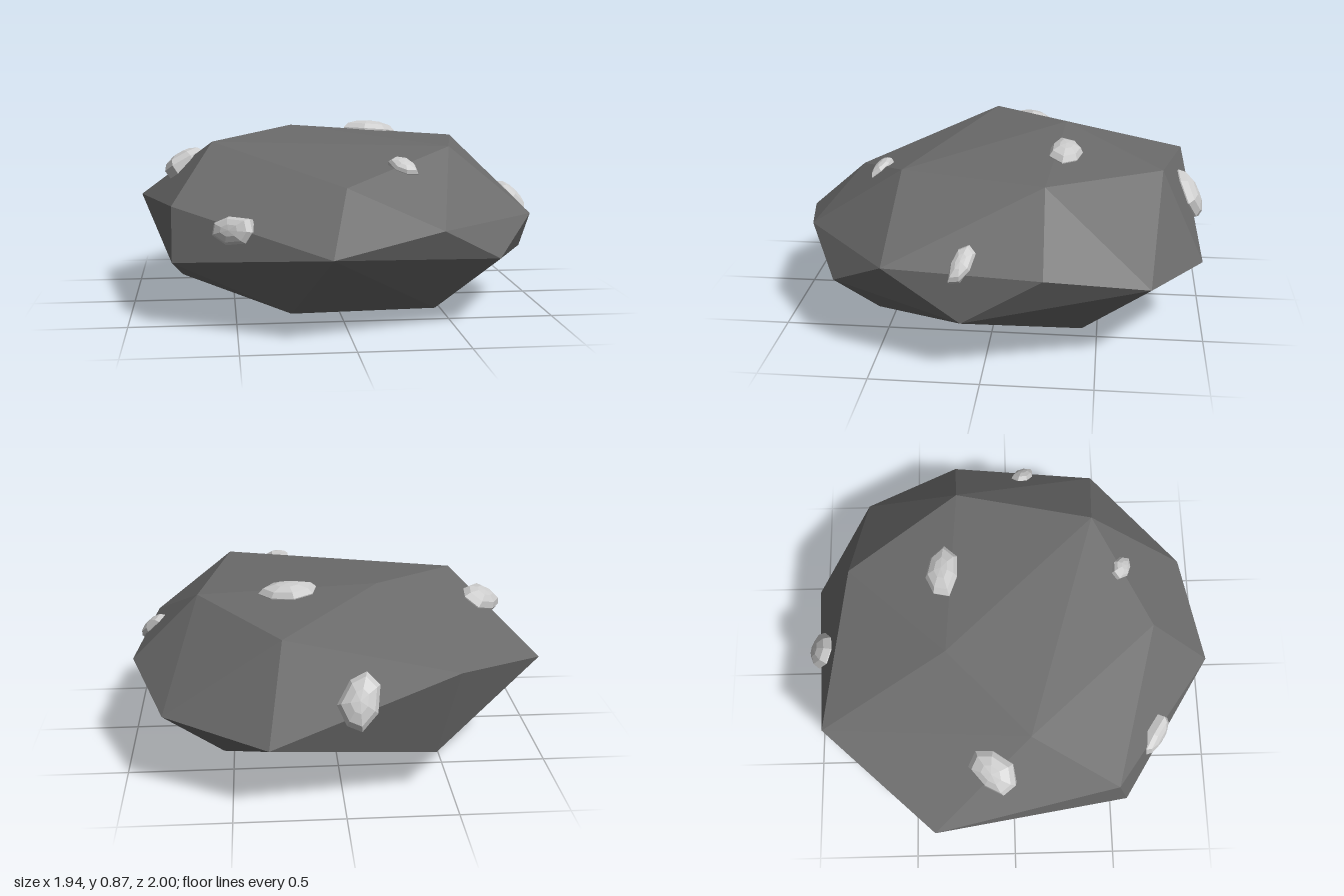
import * as THREE from 'three';
import { ConvexGeometry } from 'three/addons/geometries/ConvexGeometry.js';

// Corner points of the boulder, from crown to underside
const CORNERS = [
  // crown
  [-0.19, 0.855, -0.31], [-0.60, 0.81, 0.08], [0.505, 0.81, 0.41], [0.65, 0.80, -0.255],
  [0.267, 0.765, -0.785], [-0.01, 0.66, 0.70], [-0.50, 0.64, -0.91], [-0.79, 0.56, 0.50],
  // girth
  [-0.974, 0.49, -0.38], [0.968, 0.49, -0.27], [0.895, 0.49, 0.445], [0.40, 0.49, 0.87],
  [-0.10, 0.395, 0.99], [0.805, 0.395, -0.735], [0.335, 0.335, -0.99], [0.69, 0.33, 0.71],
  [-0.79, 0.31, 0.555], [0.945, 0.265, 0.09], [-0.42, 0.21, -0.80],
  // underside
  [-0.76, 0.11, -0.10], [0.42, 0.07, 0.56], [0.545, 0.064, -0.43], [-0.25, 0.06, 0.56],
  [-0.11, 0, -0.217],
].map((p) => new THREE.Vector3(...p));

// Nuggets: centre, direction of the long axis, half length, half width, height
const NUGGETS = [
  { at: [0.225, 0.84, -0.325], along: [1, 0, 0.05], size: [0.13, 0.085, 0.05] },
  { at: [-0.71, 0.66, -0.09], along: [0.7, 0.4, -0.7], size: [0.13, 0.09, 0.055] },
  { at: [-0.06, 0.53, -0.93], along: [-0.25, 1, 0.3], size: [0.14, 0.085, 0.06] },
  { at: [0.88, 0.51, 0.085], along: [-0.3, 1, -0.25], size: [0.095, 0.05, 0.035] },
  { at: [0.265, 0.72, 0.54], along: [0.8, -0.2, 0.6], size: [0.07, 0.05, 0.03] },
  { at: [-0.515, 0.48, 0.70], along: [1, 0, 0.6], size: [0.115, 0.065, 0.04] },
];

// Outward normal of the boulder facet nearest to a point, and the point moved onto it
function seatOn(geometry, point) {
  const pos = geometry.attributes.position;
  const tri = new THREE.Triangle();
  const plane = new THREE.Plane();
  let best = -Infinity;
  const normal = new THREE.Vector3();
  for (let i = 0; i < pos.count; i += 3) {
    tri.setFromAttributeAndIndices(pos, i, i + 1, i + 2);
    tri.getPlane(plane);
    const d = plane.distanceToPoint(point);
    if (d > best) {
      best = d;
      normal.copy(plane.normal);
    }
  }
  return { normal, seat: point.clone().addScaledVector(normal, -best) };
}

// Faceted lump with a steep rim and a low crown, slightly irregular in outline
function nuggetGeometry(seed) {
  const profile = [[0.95, -0.8], [1, 0.1], [0.82, 0.6], [0.42, 0.92], [0, 1]]
    .map(([r, y]) => new THREE.Vector2(r, y));
  const geometry = new THREE.LatheGeometry(profile, 7, Math.PI / 2);
  const pos = geometry.attributes.position;
  for (let i = 0; i < pos.count; i++) {
    const x = pos.getX(i), z = pos.getZ(i);
    const angle = Math.atan2(z, x);
    const k = 1 + 0.08 * Math.cos(2 * angle + seed) + 0.07 * Math.sin(3 * angle + seed * 2);
    pos.setX(i, x * k);
    pos.setZ(i, z * k);
  }
  return geometry;
}

export function createModel() {
  const model = new THREE.Group();
  model.name = 'oreBoulder';

  // Boulder
  const stone = new THREE.MeshStandardMaterial({ color: 0x6b6b6b, flatShading: true });
  const boulder = new THREE.Mesh(new ConvexGeometry(CORNERS), stone);
  boulder.name = 'boulder';
  model.add(boulder);

  // Ore nuggets set into the boulder's facets
  const ore = new THREE.MeshStandardMaterial({ color: 0xcccccc, flatShading: true });
  const nuggets = new THREE.Group();
  nuggets.name = 'nuggets';
  NUGGETS.forEach(({ at, along, size }, i) => {
    const { normal, seat } = seatOn(boulder.geometry, new THREE.Vector3(...at));
    const long = new THREE.Vector3(...along).projectOnPlane(normal).normalize();
    const wide = new THREE.Vector3().crossVectors(long, normal);
    const nugget = new THREE.Mesh(nuggetGeometry(i * 1.7), ore);
    nugget.name = `nugget${i + 1}`;
    nugget.quaternion.setFromRotationMatrix(new THREE.Matrix4().makeBasis(long, normal, wide));
    nugget.position.copy(seat);
    nugget.scale.set(size[0], size[2], size[1]);
    nuggets.add(nugget);
  });
  model.add(nuggets);

  return model;
}
